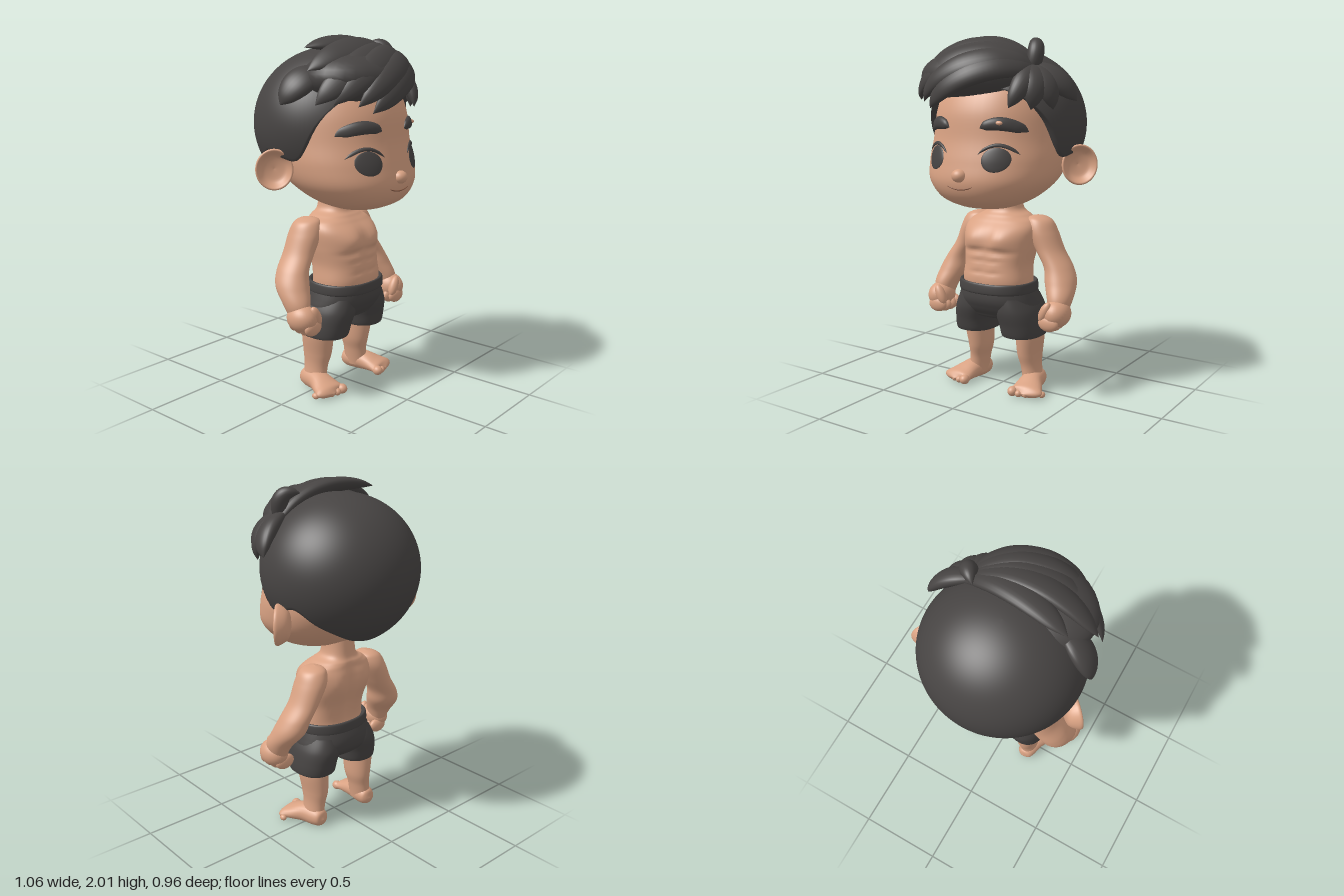
import * as THREE from 'three';

const material = (name, color) => Object.assign(new THREE.MeshStandardMaterial({ color }), { name });
const skin = material('skin', 0xd9a283);
const charcoal = material('charcoal', 0x474443);
const crease = material('crease', 0x8f6049);

// Catmull-Rom through rows of numbers
function spline(P, t) {
  const f = Math.min(Math.max(t, 0), 1) * (P.length - 1), i = Math.min(Math.floor(f), P.length - 2), k = f - i;
  const a = P[Math.max(i - 1, 0)], b = P[i], c = P[i + 1], d = P[Math.min(i + 2, P.length - 1)];
  return b.map((q, j) => q + 0.5 * k * (c[j] - a[j] + k * (2 * a[j] - 5 * q + 4 * c[j] - d[j] + k * (3 * (q - c[j]) + d[j] - a[j]))));
}

// closed-around surface, fn(angle, v) -> [x, y, z]
function surface(fn, nu, nv) {
  const pos = [], idx = [];
  for (let j = 0; j <= nv; j++) for (let i = 0; i < nu; i++) pos.push(...fn(i / nu * Math.PI * 2, j / nv));
  for (let j = 0; j < nv; j++) for (let i = 0; i < nu; i++) {
    const i2 = (i + 1) % nu, a = j * nu + i, b = a + nu, c = j * nu + i2, d = c + nu;
    idx.push(a, b, c, c, b, d);
  }
  const g = new THREE.BufferGeometry();
  g.setAttribute('position', new THREE.Float32BufferAttribute(pos, 3));
  g.setIndex(idx);
  g.computeVertexNormals();
  return g;
}

// stacked horizontal sections, top to bottom: [y, half width, front z, back z, centre x]
function loft(P, n = 2, side = 1, move = p => p) {
  const round = c => Math.sign(c) * Math.abs(c) ** (2 / n);
  return surface((u, v) => {
    const [y, w, zf, zb, cx = 0] = spline(P, v);
    return move([side * cx + Math.max(w, 0) * round(Math.sin(u)), y, (zf + zb) / 2 + (zf - zb) / 2 * round(Math.cos(u))], Math.cos(u));
  }, 48, 72);
}

// elliptical sections along a path: [x, y, z, half width, half thickness]
function sweep(P, up) {
  return surface((u, v) => {
    const s = spline(P, v), a = spline(P, v - 0.01), b = spline(P, v + 0.01);
    const c = new THREE.Vector3(...s);
    const T = new THREE.Vector3(b[0] - a[0], b[1] - a[1], b[2] - a[2]).normalize();
    const N = up(c).addScaledVector(T, -up(c).dot(T)).normalize();
    const B = N.clone().cross(T);
    return c.addScaledVector(N, Math.max(s[4], 0) * Math.cos(u)).addScaledVector(B, Math.max(s[3], 0) * Math.sin(u)).toArray();
  }, 24, 32);
}

const blob = (x, y, z, rx, ry, rz) => new THREE.SphereGeometry(1, 32, 20).scale(rx, ry, rz).translate(x, y, z);

const HEAD_N = 2.15;
const HEAD = [
  [1.92, 0, 0, 0], [1.895, 0.13, 0.1, -0.11], [1.82, 0.25, 0.23, -0.26], [1.72, 0.325, 0.32, -0.35],
  [1.6, 0.362, 0.374, -0.395], [1.45, 0.378, 0.392, -0.39], [1.33, 0.384, 0.418, -0.34], [1.22, 0.355, 0.432, -0.24],
  [1.13, 0.265, 0.39, -0.11], [1.08, 0.155, 0.295, 0.01], [1.064, 0.06, 0.2, 0.1], [1.062, 0, 0.15, 0.15]];

// front surface of the face at x, y
function faceZ(x, y) {
  let lo = 0, hi = 1;
  for (let i = 0; i < 24; i++) { const m = (lo + hi) / 2; if (spline(HEAD, m)[0] > y) lo = m; else hi = m; }
  const [, w, zf, zb] = spline(HEAD, lo);
  return (zf + zb) / 2 + (zf - zb) / 2 * Math.max(0, 1 - Math.abs(x / w) ** HEAD_N) ** (1 / HEAD_N);
}

// lay a flat-built piece onto the face
function onFace(g) {
  const p = g.attributes.position;
  for (let i = 0; i < p.count; i++) p.setZ(i, p.getZ(i) + faceZ(p.getX(i), p.getY(i)));
  g.computeVertexNormals();
  return g;
}

// tapered curved stroke on the face
function stroke(cx, cy, halfWidth, rise, tilt, w, h) {
  const P = [];
  for (let i = -4; i <= 4; i++) {
    const k = i / 4, q = Math.sqrt(1 - k * k);
    P.push([cx + halfWidth * k, cy + rise * (1 - k * k) + tilt * k, 0, w * q, h * q]);
  }
  return onFace(sweep(P, () => new THREE.Vector3(0, 0, 1)));
}

// hair cap ending at a hairline height that varies from front to back
const C = new THREE.Vector3(0, 1.53, -0.05), R = new THREE.Vector3(0.45, 0.42, 0.435);
const HAIRLINE = [1.74, 1.73, 1.71, 1.66, 1.55, 1.37, 1.37, 1.4, 1.32, 1.26, 1.21, 1.19, 1.18].map(y => [y]);
function hairCap() {
  return surface((u, v) => {
    const yh = spline(HAIRLINE, (u > Math.PI ? 2 * Math.PI - u : u) / Math.PI)[0];
    const lip = Math.max(0, (v - 0.94) / 0.06), f = Math.acos((yh - C.y) / R.y) * Math.min(v / 0.94, 1);
    const k = Math.sin(f) * (1 - 0.17 * lip);
    return [R.x * k * Math.sin(u), C.y + R.y * Math.cos(f), C.z + R.z * k * Math.cos(u)];
  }, 112, 50);
}

// tapered lock swept over the cap from root to tip, lifted in the middle
function lock(root, tip, lift, w) {
  const a = new THREE.Vector3(...root).sub(C).divide(R), b = new THREE.Vector3(...tip).sub(C).divide(R), P = [];
  for (let i = 0; i <= 6; i++) {
    const t = i / 6, k = t < 1 ? Math.sin(Math.PI * (0.22 + 0.78 * t)) ** 0.75 : 0;
    const len = THREE.MathUtils.lerp(a.length(), b.length(), t) + lift * Math.sin(Math.PI * t);
    P.push([...a.clone().lerp(b, t).setLength(len).multiply(R).add(C).toArray(), w * k, 0.045 * k]);
  }
  return sweep(P, c => c.clone().sub(C).normalize());
}

export function createModel() {
  const model = new THREE.Group();
  const add = (name, geo, mat = skin) => {
    const m = new THREE.Mesh(geo, mat);
    m.name = name;
    model.add(m);
  };
  const bump = (x, y, cx, cy, sx, sy) => Math.exp(-(((x - cx) / sx) ** 2) - ((y - cy) / sy) ** 2);

  // torso with chest, stomach and back muscles
  add('torso', loft([
    [1.16, 0.085, 0.06, -0.12], [1.05, 0.095, 0.065, -0.13], [1.01, 0.15, 0.095, -0.145], [0.98, 0.2, 0.125, -0.15],
    [0.93, 0.222, 0.165, -0.158], [0.84, 0.214, 0.192, -0.155], [0.74, 0.198, 0.205, -0.125], [0.65, 0.204, 0.215, -0.11],
    [0.58, 0.2, 0.2, -0.12]], 2.4, 1, ([x, y, z], c) => {
    const ax = Math.abs(x);
    if (c > 0) {
      z += c * (0.03 * bump(ax, y, 0.1, 0.89, 0.085, 0.06) - 0.012 * bump(ax, y, 0.09, 0.815, 0.09, 0.018));
      z -= c * 0.01 * bump(x, y, 0, 0.77, 0.014, 0.14);
      for (const row of [0.83, 0.765, 0.7]) z -= c * 0.006 * bump(ax, y, 0.05, row, 0.05, 0.012);
    } else {
      z -= c * 0.025 * bump(x, y, 0, 0.8, 0.03, 0.17);
      z += c * 0.018 * bump(ax, y, 0.11, 0.9, 0.06, 0.07);
    }
    return [x, y, z];
  }));

  for (const s of [1, -1]) {
    const side = s > 0 ? 'left' : 'right';
    // arm and fist
    add(side + 'Arm', loft([
      [1.015, 0, -0.05, -0.06, 0.195], [1.005, 0.045, 0, -0.11, 0.2], [0.98, 0.075, 0.025, -0.14, 0.21], [0.92, 0.085, 0.04, -0.16, 0.23],
      [0.82, 0.078, 0.035, -0.158, 0.28], [0.73, 0.08, 0.045, -0.152, 0.338], [0.65, 0.087, 0.072, -0.13, 0.367],
      [0.56, 0.068, 0.107, -0.055, 0.393], [0.46, 0.04, 0.1, 0, 0.39]], 2, s));
    add(side + 'Palm', blob(s * 0.4, 0.495, 0.07, 0.075, 0.078, 0.092));
    for (let i = 0; i < 4; i++)
      add(side + 'Finger', blob(s * (0.382 - 0.004 * i), 0.44 + 0.006 * Math.abs(i - 1.5), 0.135 - 0.042 * i, 0.062, 0.045, 0.028));
    add(side + 'Thumb', blob(0, 0, 0, 0.029, 0.063, 0.029).rotateZ(-s * 0.45).translate(s * 0.358, 0.51, 0.135));

    // leg, foot and toes
    add(side + 'Leg', loft([
      [0.42, 0.08, 0.1, -0.11, 0.175], [0.32, 0.077, 0.09, -0.115, 0.177], [0.21, 0.067, 0.072, -0.112, 0.172],
      [0.13, 0.056, 0.052, -0.1, 0.18], [0.03, 0.056, 0.05, -0.1, 0.195]], 2, s));
    const foot = sweep([
      [0.19, 0.045, -0.12, 0, 0], [0.19, 0.045, -0.105, 0.042, 0.042], [0.193, 0.05, -0.06, 0.058, 0.058], [0.208, 0.05, 0.02, 0.064, 0.058],
      [0.23, 0.036, 0.1, 0.085, 0.042], [0.24, 0.027, 0.145, 0.092, 0.03], [0.242, 0.025, 0.172, 0, 0]
    ].map(([x, ...rest]) => [s * x, ...rest]), () => new THREE.Vector3(0, 1, 0));
    const fp = foot.attributes.position;
    for (let i = 0; i < fp.count; i++) fp.setY(i, Math.max(fp.getY(i), 0));
    foot.computeVertexNormals();
    add(side + 'Foot', foot);
    for (let i = 0; i < 5; i++) {
      const r = i ? 0.022 - 0.001 * i : 0.028;
      add(side + 'Toe', blob(s * (0.168 + 0.039 * i), r, 0.162 - 0.004 * i * i, r, r, r + 0.004));
    }

    // shorts leg with turned hem
    add(side + 'ShortsLeg', loft([
      [0.56, 0.1, 0.2, -0.13, 0.12], [0.48, 0.122, 0.203, -0.152, 0.135], [0.4, 0.12, 0.183, -0.14, 0.152],
      [0.342, 0.117, 0.168, -0.127, 0.157], [0.33, 0.107, 0.155, -0.115, 0.157], [0.345, 0.08, 0.11, -0.1, 0.157]], 2.3, s), charcoal);

    // cupped ear
    const profile = [[0, -0.055], [0.065, -0.042], [0.1, 0.008], [0.093, 0.027], [0.06, -0.008], [0, -0.02]];
    const ring = new THREE.SplineCurve(profile.map(p => new THREE.Vector2(...p))).getPoints(30);
    for (const p of ring) p.x = Math.max(p.x, 0);
    add(side + 'Ear', new THREE.LatheGeometry(ring, 40).rotateX(Math.PI / 2).scale(1, 1.1, 1).rotateY(s * Math.PI / 4).translate(s * 0.443, 1.31, -0.08));

    // eye, lash line and brow
    add(side + 'Eye', onFace(blob(s * 0.193, 1.352, 0, 0.07, 0.064, 0.009)), charcoal);
    add(side + 'Lash', stroke(s * 0.197, 1.378, 0.098, 0.05, 0, 0.01, 0.01), charcoal);
    add(side + 'Brow', stroke(s * 0.205, 1.505, 0.107, 0.033, -s * 0.01, 0.035, 0.026), charcoal);
  }

  // shorts
  add('shortsHips', loft([
    [0.63, 0.212, 0.225, -0.13], [0.55, 0.235, 0.23, -0.158], [0.5, 0.246, 0.212, -0.162],
    [0.46, 0.24, 0.185, -0.15], [0.43, 0.17, 0.15, -0.115], [0.415, 0, 0.02, 0.01]], 2.3), charcoal);
  add('waistband', loft([
    [0.625, 0.195, 0.205, -0.115], [0.642, 0.213, 0.228, -0.132], [0.635, 0.226, 0.24, -0.145],
    [0.59, 0.228, 0.242, -0.149], [0.58, 0.215, 0.225, -0.14]], 2.3), charcoal);

  // head and face
  add('head', loft(HEAD, HEAD_N));
  add('nose', blob(0, 1.265, 0.425, 0.042, 0.036, 0.04));
  add('mouth', stroke(0, 1.21, 0.088, -0.019, 0, 0.004, 0.004), crease);
  add('browNotch', blob(0.2, 1.543, faceZ(0.2, 1.543) + 0.018, 0.024, 0.012, 0.014));

  // hair: cap, fringe volume and locks swept from the parting
  add('hairCap', hairCap(), charcoal);
  add('fringeVolume', blob(-0.06, 1.79, 0.17, 0.33, 0.15, 0.26), charcoal);
  const parting = [0.27, 1.82, 0.13];
  const hairLock = (tip, lift, w, root = parting) => add('hairLock', lock(root, tip, lift, w), charcoal);
  hairLock([-0.31, 1.945, 0.02], -0.03, 0.09);
  hairLock([-0.42, 1.83, 0.14], 0.02, 0.1);
  hairLock([-0.43, 1.66, 0.2], 0.1, 0.1);
  hairLock([-0.37, 1.66, 0.27], 0.15, 0.09);
  hairLock([-0.28, 1.65, 0.36], 0.16, 0.08);
  hairLock([-0.21, 1.615, 0.4], 0.14, 0.085);
  hairLock([-0.475, 1.655, 0], 0.02, 0.09, [-0.3, 1.82, 0.08]);
  hairLock([0.25, 1.62, 0.335], 0.05, 0.06);
  hairLock([0.335, 1.61, 0.25], 0.07, 0.07);
  hairLock([0.41, 1.61, 0.15], 0.06, 0.07);
  hairLock([0.475, 1.655, 0.01], 0.03, 0.08);
  hairLock([0.21, 1.955, 0.03], 0.13, 0.045);

  return model;
}
